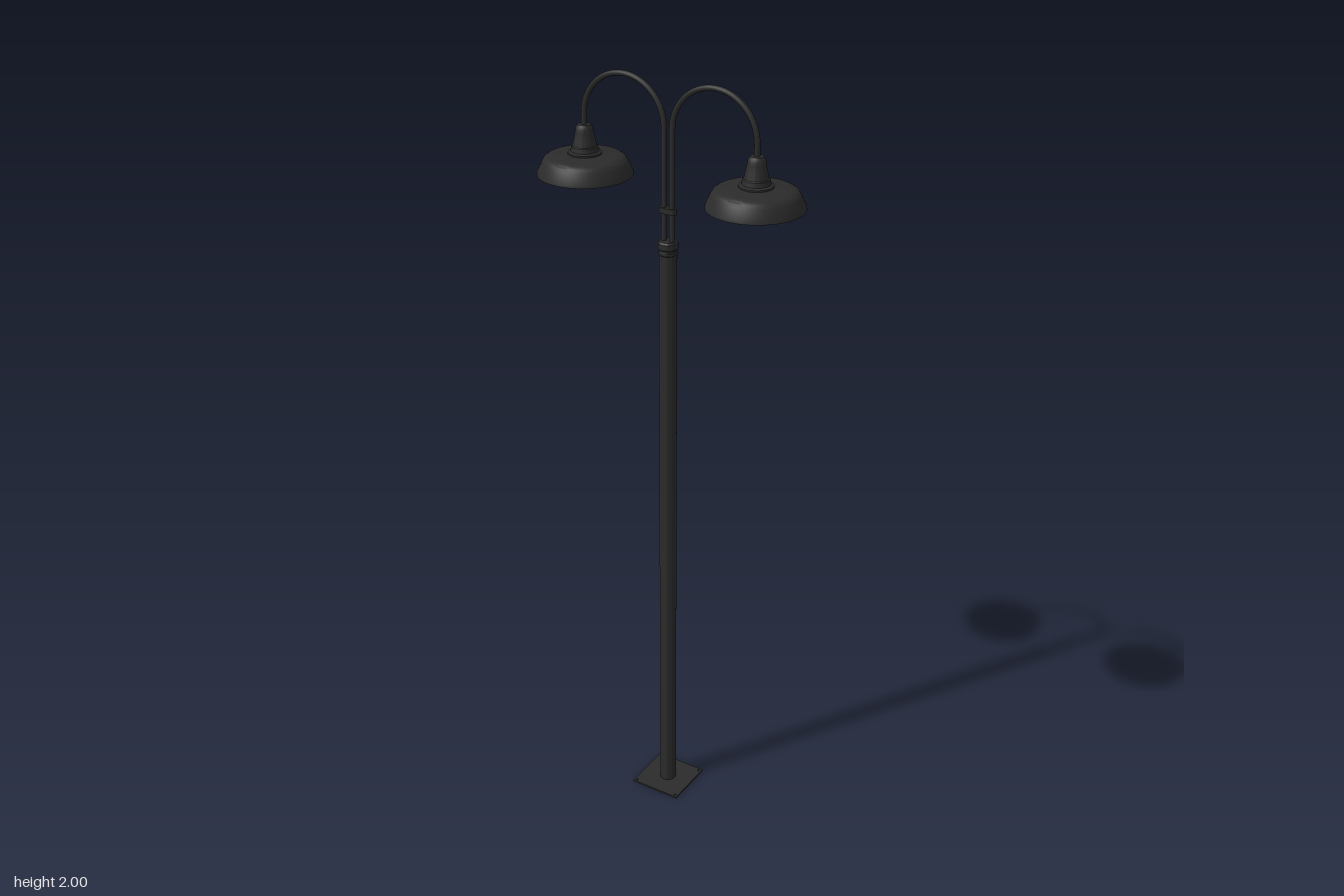
import * as THREE from 'three';
import { toCreasedNormals } from 'three/addons/utils/BufferGeometryUtils.js';

const mat = (name, color) => {
  const m = new THREE.MeshStandardMaterial({ color });
  m.name = name;
  return m;
};

export function createModel() {
  const iron = mat('black iron', 0x2b2b2b);
  const enamel = mat('cream enamel', 0xd6cdc0);
  const glass = mat('bulb glass', 0xa8aaac);
  const root = new THREE.Group();
  root.name = 'doubleStreetLamp';

  const add = (parent, name, geometry, material) => {
    const mesh = new THREE.Mesh(geometry, material);
    mesh.name = name;
    parent.add(mesh);
    return mesh;
  };
  // Profiles listed upward face outward, listed downward face inward
  const lathe = (profile, segments = 40) => toCreasedNormals(
    new THREE.LatheGeometry(profile.map(([r, y]) => new THREE.Vector2(r, y)), segments), 0.5);

  // Base plate with four bolt holes
  const plate = new THREE.Shape();
  const h = 0.071;
  plate.moveTo(-h, -h).lineTo(h, -h).lineTo(h, h).lineTo(-h, h).closePath();
  for (const x of [-1, 1]) for (const y of [-1, 1]) {
    plate.holes.push(new THREE.Path().absarc(x * 0.063, y * 0.063, 0.0028, 0, Math.PI * 2, true));
  }
  const plateGeometry = new THREE.ExtrudeGeometry(plate, { depth: 0.005, bevelEnabled: false });
  plateGeometry.rotateX(-Math.PI / 2);
  add(root, 'basePlate', plateGeometry, iron);

  // Main post with a grooved collar at its top
  add(root, 'post', lathe([
    [0.022, 0.004], [0.022, 1.576], [0.0245, 1.578], [0.0245, 1.584], [0.0225, 1.586],
    [0.0225, 1.590], [0.0245, 1.592], [0.0245, 1.606], [0.021, 1.61], [0, 1.61],
  ]), iron);

  // Clamp joining the two risers
  const clamp = new THREE.Shape();
  clamp.absarc(0.0125, 0, 0.0105, -Math.PI / 2, Math.PI / 2, false);
  clamp.absarc(-0.0125, 0, 0.0105, Math.PI / 2, Math.PI * 1.5, false);
  const clampGeometry = new THREE.ExtrudeGeometry(clamp, { depth: 0.014, bevelEnabled: false });
  clampGeometry.rotateX(-Math.PI / 2).translate(0, 1.678, 0);
  add(root, 'clamp', clampGeometry, iron);

  const lampX = 0.235, riserX = 0.011, bend = (lampX - riserX) / 2, bendY = 1.881;
  for (const side of [-1, 1]) {
    const name = side > 0 ? 'left' : 'right';

    // Gooseneck: straight riser, half circle, short drop into the lamp
    const points = [[riserX, 1.6], [riserX, 1.7], [riserX, 1.8], [riserX, 1.86]];
    for (let i = 0; i <= 16; i++) {
      const a = Math.PI * (1 - i / 16);
      points.push([riserX + bend + bend * Math.cos(a), bendY + bend * Math.sin(a)]);
    }
    points.push([lampX, 1.845]);
    const path = new THREE.CatmullRomCurve3(points.map(([x, y]) => new THREE.Vector3(side * x, y, 0)));
    add(root, name + 'Gooseneck', new THREE.TubeGeometry(path, 80, 0.007, 12), iron);

    const lamp = new THREE.Group();
    lamp.name = name + 'Lamp';
    lamp.position.x = side * lampX;
    root.add(lamp);

    // Outer shade
    add(lamp, 'shade', lathe([
      [0.115, 1.735], [0.117, 1.735], [0.116, 1.741], [0.104, 1.766], [0.099, 1.774],
      [0.091, 1.779], [0.08, 1.781], [0.041, 1.785],
    ], 56), iron);

    // Stepped neck
    add(lamp, 'neck', lathe([
      [0.041, 1.783], [0.041, 1.789], [0.034, 1.792], [0.032, 1.803], [0.029, 1.805],
      [0.025, 1.824], [0.022, 1.838], [0.021, 1.848], [0.016, 1.856], [0, 1.857],
    ]), iron);

    // Enamelled lining
    add(lamp, 'lining', lathe([
      [0.03, 1.782], [0.08, 1.778], [0.09, 1.776], [0.097, 1.771], [0.102, 1.764], [0.115, 1.735],
    ], 56), enamel);

    // Socket and bulb
    add(lamp, 'socket', lathe([
      [0, 1.762], [0.021, 1.762], [0.023, 1.766], [0.03, 1.777], [0.032, 1.784],
    ], 32), iron);
    add(lamp, 'bulb', lathe([
      [0, 1.729], [0.007, 1.7304], [0.013, 1.735], [0.0165, 1.741], [0.0175, 1.748],
      [0.0165, 1.755], [0.0135, 1.764],
    ], 28), glass);
  }
  return root;
}
